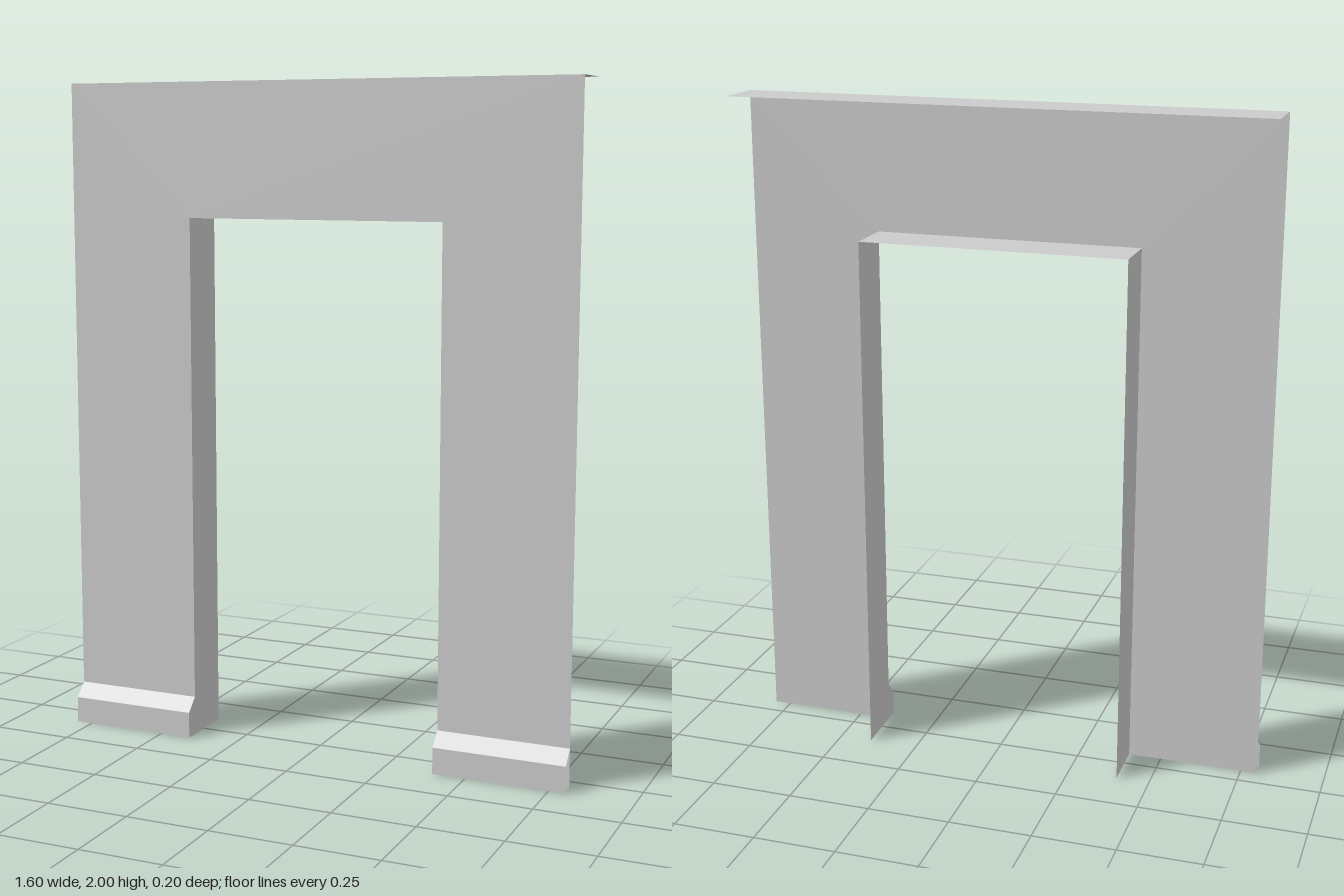
import * as THREE from 'three';

const FRONT = 0.06, BACK = -0.1, FOOT = 0.1; // z planes: wall face, rear edge, plinth face
const DEPTH = FRONT - BACK;
const material = new THREE.MeshStandardMaterial({ color: 0xcccccc, side: THREE.DoubleSide });

export function createModel() {
  const group = new THREE.Group();
  const add = (name, geometry, x, y, z) => {
    const mesh = new THREE.Mesh(geometry, material);
    mesh.name = name;
    mesh.position.set(x, y, z);
    group.add(mesh);
  };
  const outline = (points) =>
    new THREE.ShapeGeometry(new THREE.Shape(points.map(([x, y]) => new THREE.Vector2(x, y))));
  const sheet = (w, h, tilt) => new THREE.PlaneGeometry(w, h).rotateX(tilt);

  // Wall face with the door opening
  add('wallFace', outline([
    [-0.8, 0], [-0.4, 0], [-0.4, 1.6], [0.4, 1.6],
    [0.4, 0], [0.8, 0], [0.8, 2], [-0.8, 2],
  ]), 0, 0, FRONT);

  // Thin top cover and the underside of the opening
  add('topCover', sheet(1.6, DEPTH, -Math.PI / 2), 0, 2, (FRONT + BACK) / 2);
  add('openingSoffit', sheet(0.8, DEPTH, Math.PI / 2), 0, 1.6, (FRONT + BACK) / 2);

  for (const [side, s] of [['left', 1], ['right', -1]]) {
    // Jamb sheet, its profile (z, y) including the end of the plinth
    const jamb = outline([
      [BACK, 0], [FOOT, 0], [FOOT, 0.08], [FRONT, 0.12], [FRONT, 1.6], [BACK, 1.6],
    ]);
    // Face into the opening
    if (s > 0) jamb.rotateY(-Math.PI / 2);
    else jamb.scale(-1, 1, -1).rotateY(-Math.PI / 2).scale(-1, 1, -1);
    add(side + 'Jamb', jamb, 0.4 * s, 0, 0);

    // Plinth: upright board with a sloping top edge
    add(side + 'PlinthFace', sheet(0.4, 0.08, 0), 0.6 * s, 0.04, FOOT);
    add(side + 'PlinthSlope', sheet(0.4, 0.04 * Math.SQRT2, -Math.PI / 4), 0.6 * s, 0.1, 0.08);
  }
  return group;
}
